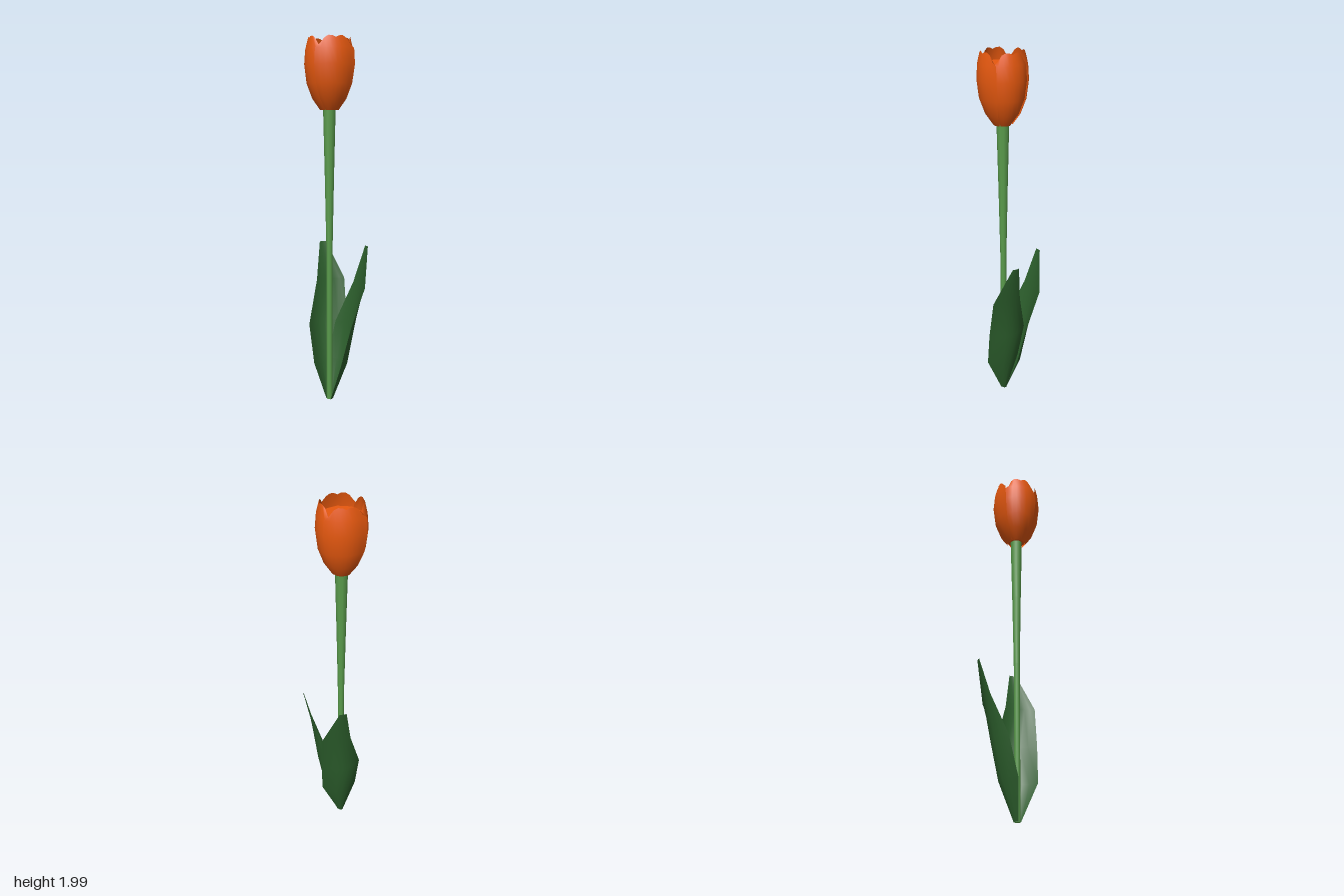
import * as THREE from 'three';

const mat = (color, extra = {}) => new THREE.MeshStandardMaterial({ color, ...extra });

// Smooth sheet from a function point(u, v), u across (-1..1), v along (0..rows)
function sheet(point, cols, rows, material, name) {
  const pos = [], index = [];
  for (let r = 0; r <= rows; r++) {
    for (let c = 0; c <= cols; c++) pos.push(...point((c / cols) * 2 - 1, r));
  }
  for (let r = 0; r < rows; r++) {
    for (let c = 0; c < cols; c++) {
      const a = r * (cols + 1) + c, d = a + cols + 1;
      index.push(a, a + 1, d, a + 1, d + 1, d);
    }
  }
  const geo = new THREE.BufferGeometry();
  geo.setAttribute('position', new THREE.Float32BufferAttribute(pos, 3));
  geo.setIndex(index);
  geo.computeVertexNormals();
  const mesh = new THREE.Mesh(geo, material);
  mesh.name = name;
  return mesh;
}

const profile = (pts) => pts.map(([r, y]) => new THREE.Vector2(r, y));

export function createModel() {
  const tulip = new THREE.Group();
  tulip.name = 'flower';
  // Everything grows around the stem axis
  tulip.position.set(-0.037, 0, 0.034);

  const stemMat = mat(0x5a9c4c);
  const leafMat = mat(0x2d602d, { side: THREE.DoubleSide });
  const petalMat = mat(0xe8590f, { side: THREE.DoubleSide });
  const budMat = mat(0xe8590f, { flatShading: true });

  // Stem, swelling towards the flower
  const stem = new THREE.Mesh(new THREE.LatheGeometry(profile([
    [0, 0], [0.016, 0], [0.017, 0.85], [0.025, 1.25], [0.034, 1.63],
  ]), 10), stemMat);
  stem.name = 'stem';
  tulip.add(stem);

  // Closed eight-sided heart of the blossom
  const bud = new THREE.Mesh(new THREE.LatheGeometry(profile([
    [0, 1.615], [0.045, 1.615], [0.09, 1.69], [0.112, 1.82], [0.097, 1.93], [0, 1.93],
  ]), 8), budMat);
  bud.name = 'bud';
  tulip.add(bud);

  // Petal rows: [height, radius, half angle]
  const petalRows = [
    [1.61, 0.05, 0.72], [1.67, 0.092, 0.82], [1.75, 0.122, 0.86],
    [1.85, 0.134, 0.86], [1.93, 0.127, 0.84], [1.995, 0.112, 0.68],
  ];
  const petals = new THREE.Group();
  petals.name = 'petals';
  for (let i = 0; i < 4; i++) {
    const outer = i % 2 === 0; // front and back petals overlap the side ones
    const petal = sheet((u, r) => {
      const [y, radius, half] = petalRows[r];
      const grow = r / 5;
      const a = u * half * (outer ? 1.04 : 1);
      const rad = radius + (outer ? 0.016 * u ** 4 * grow : -0.006 * u * u);
      const dip = r === 5 ? 0.045 * u ** 4 + 0.012 * Math.max(0, 1 - 3 * Math.abs(u)) : 0;
      return [rad * Math.sin(a), y - dip, rad * Math.cos(a)];
    }, 8, 5, petalMat, 'petal');
    petal.rotation.y = (i * Math.PI) / 2 - 0.04;
    petals.add(petal);
  }
  tulip.add(petals);

  // Leaf rows: [height, left x, right x, edge z, midrib z], relative to the stem
  const leafRows = [
    [0, -0.018, 0.018, 0.0, -0.02],
    [0.21, -0.084, 0.117, -0.02, -0.094],
    [0.42, -0.094, 0.132, -0.072, -0.134],
    [0.655, -0.02, 0.147, -0.15, -0.162],
    [0.865, 0.018, 0.056, -0.205, -0.208],
  ];
  // Two trough-shaped leaves, a quarter turn apart
  [0, -Math.PI / 2].forEach((turn) => {
    const leaf = sheet((u, r) => {
      const [y, x0, x1, edge, mid] = leafRows[r];
      return [x0 + ((x1 - x0) * (u + 1)) / 2, y, mid + (edge - mid) * u * u];
    }, 6, 4, leafMat, 'leaf');
    leaf.rotation.y = turn;
    tulip.add(leaf);
  });

  const model = new THREE.Group();
  model.add(tulip);
  return model;
}
